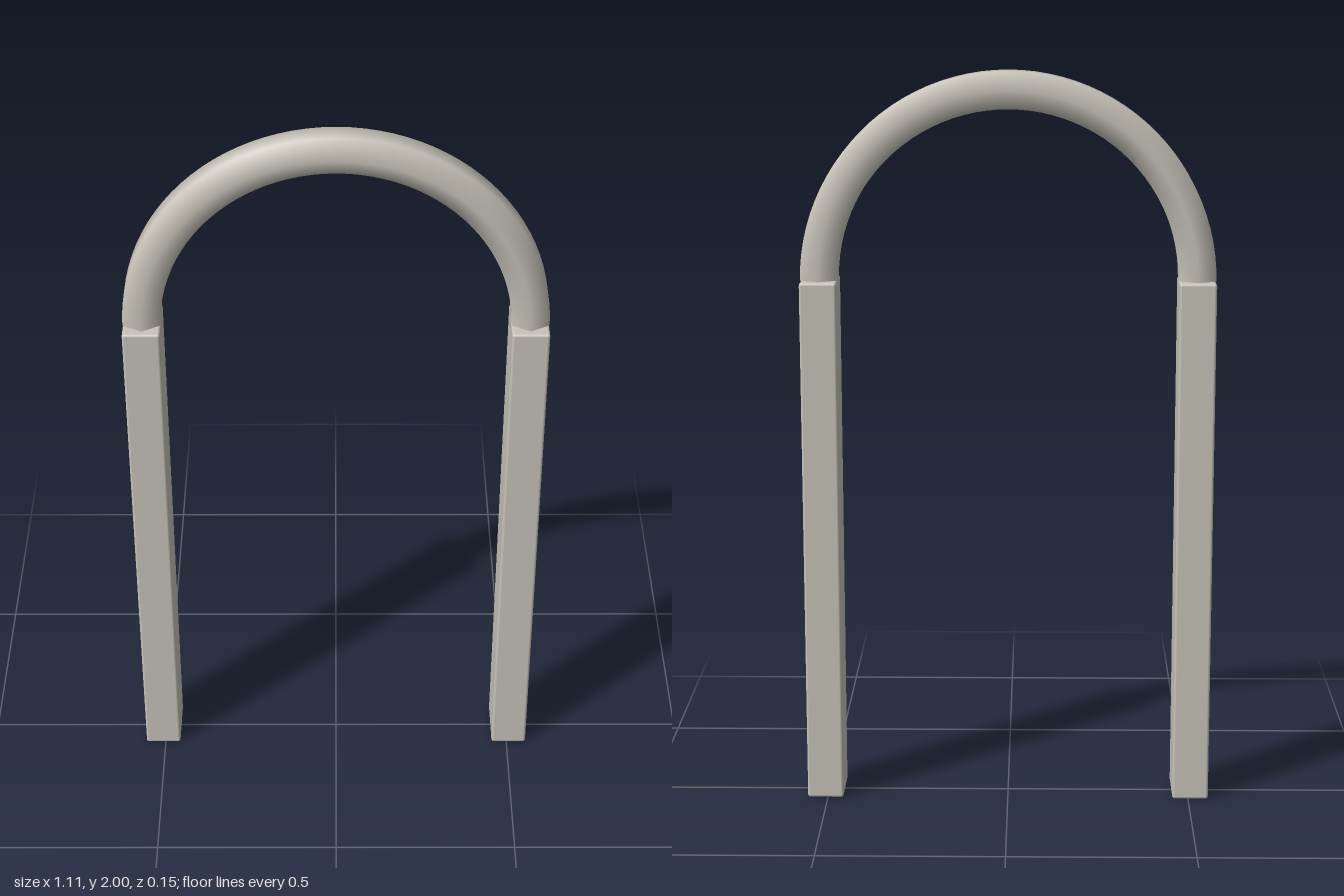
import * as THREE from 'three';
import { RoundedBoxGeometry } from 'three/addons/geometries/RoundedBoxGeometry.js';

const POST = { width: 0.099, height: 1.444, depth: 0.151 };
const ARCH_RADIUS = 0.506;

// Half circle in the xy plane, from one post top to the other
class ArchCurve extends THREE.Curve {
  getPoint(t, target = new THREE.Vector3()) {
    const a = Math.PI * t;
    return target.set(ARCH_RADIUS * Math.cos(a), POST.height + ARCH_RADIUS * Math.sin(a), 0);
  }
}

export function createModel() {
  const group = new THREE.Group();
  group.name = 'archway';

  const paint = new THREE.MeshStandardMaterial({ color: 0xc8c4ba });
  paint.name = 'warm grey';

  // Two upright posts with slightly eased edges
  const postGeometry = new RoundedBoxGeometry(POST.width, POST.height, POST.depth, 2, 0.007);
  for (const [name, side] of [['leftPost', 1], ['rightPost', -1]]) {
    const post = new THREE.Mesh(postGeometry, paint);
    post.name = name;
    post.position.set(side * ARCH_RADIUS, POST.height / 2, 0);
    group.add(post);
  }

  // Six-sided, smooth-shaded bar bent over the posts
  const arch = new THREE.Mesh(new THREE.TubeGeometry(new ArchCurve(), 48, 0.0577, 6, false), paint);
  arch.name = 'arch';
  group.add(arch);

  return group;
}
